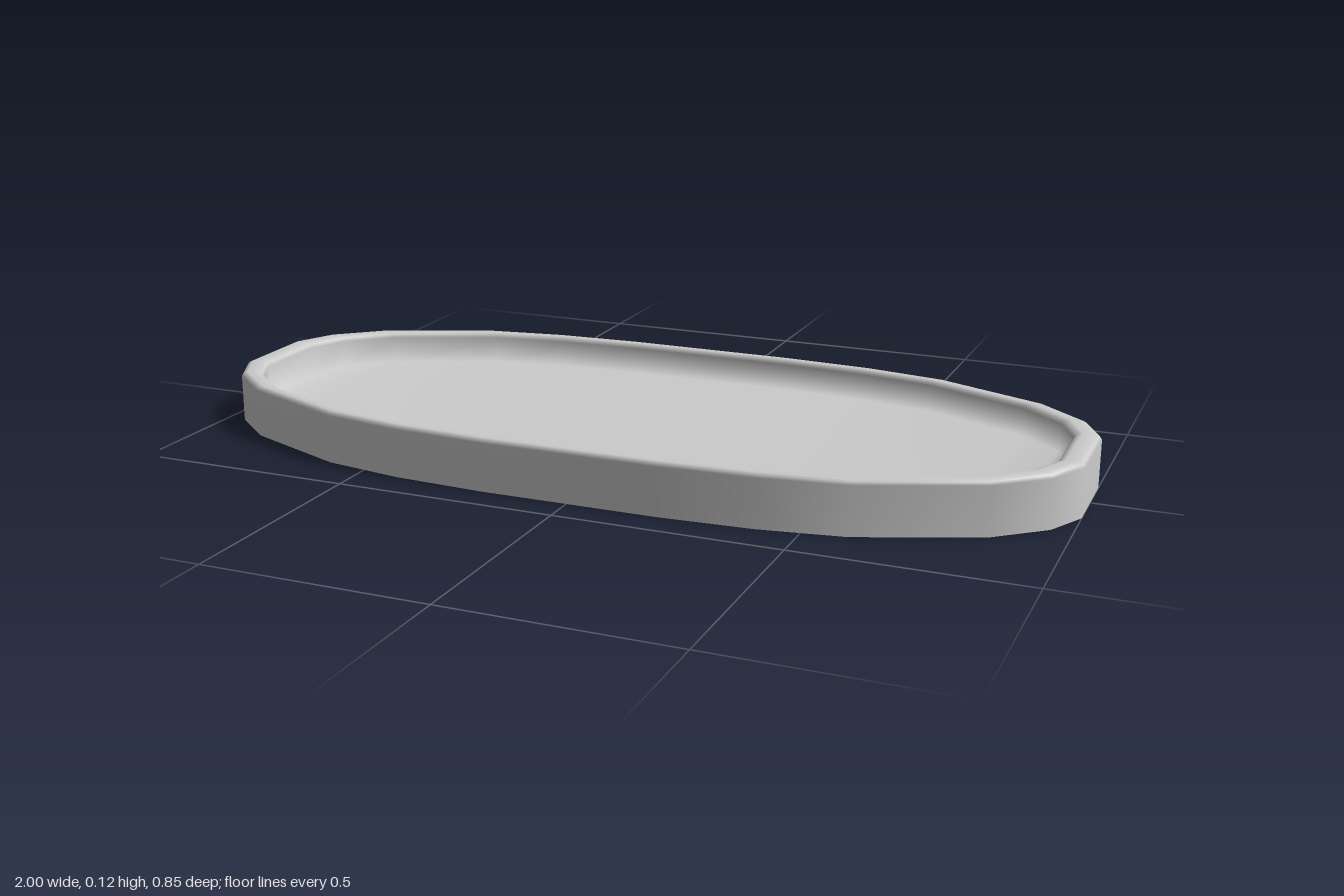
import * as THREE from 'three';

// One quarter of the oval outline: x, z
const quarter = [[1, 0.1], [0.955, 0.19], [0.85, 0.28], [0.595, 0.385], [0.41, 0.415], [0.2, 0.427]];

// Rim cross-section from the outer foot, over the rounded lip, down to the floor: outline scale, y
const section = [
  [1, 0], [1, 0.108], [0.995, 0.115], [0.985, 0.119], [0.96, 0.119],
  [0.949, 0.115], [0.943, 0.107], [0.94, 0.045],
];

export function createModel() {
  // Closed outline: along the front from +x to -x, then back along the rear
  const front = [...quarter, ...quarter.map(([x, z]) => [-x, z]).reverse()];
  const outline = [...front, ...front.map(([x, z]) => [x, -z]).reverse()];
  const n = outline.length;

  const positions = [];
  for (const [scale, y] of section) {
    for (const [x, z] of outline) positions.push(x * scale, y, z * scale);
  }

  // Wall, lip and inner wall
  const index = [];
  for (let r = 0; r < section.length - 1; r++) {
    for (let i = 0; i < n; i++) {
      const a = r * n + i;
      const b = r * n + (i + 1) % n;
      index.push(a, a + n, b, b, a + n, b + n);
    }
  }

  // Floor: strips running from the front edge to the rear edge
  const base = (section.length - 1) * n;
  for (let i = 0; i < front.length - 1; i++) {
    const f0 = base + i, f1 = f0 + 1;
    const b0 = base + n - 1 - i, b1 = b0 - 1;
    index.push(f0, b0, f1, f1, b0, b1);
  }

  const geometry = new THREE.BufferGeometry();
  geometry.setAttribute('position', new THREE.Float32BufferAttribute(positions, 3));
  geometry.setIndex(index);
  geometry.computeVertexNormals();

  // Open underneath, so both sides are visible
  const tray = new THREE.Mesh(
    geometry,
    new THREE.MeshStandardMaterial({ color: 0xcccccc, side: THREE.DoubleSide }),
  );
  tray.name = 'ovalTray';

  const group = new THREE.Group();
  group.name = 'tray';
  group.add(tray);
  return group;
}
